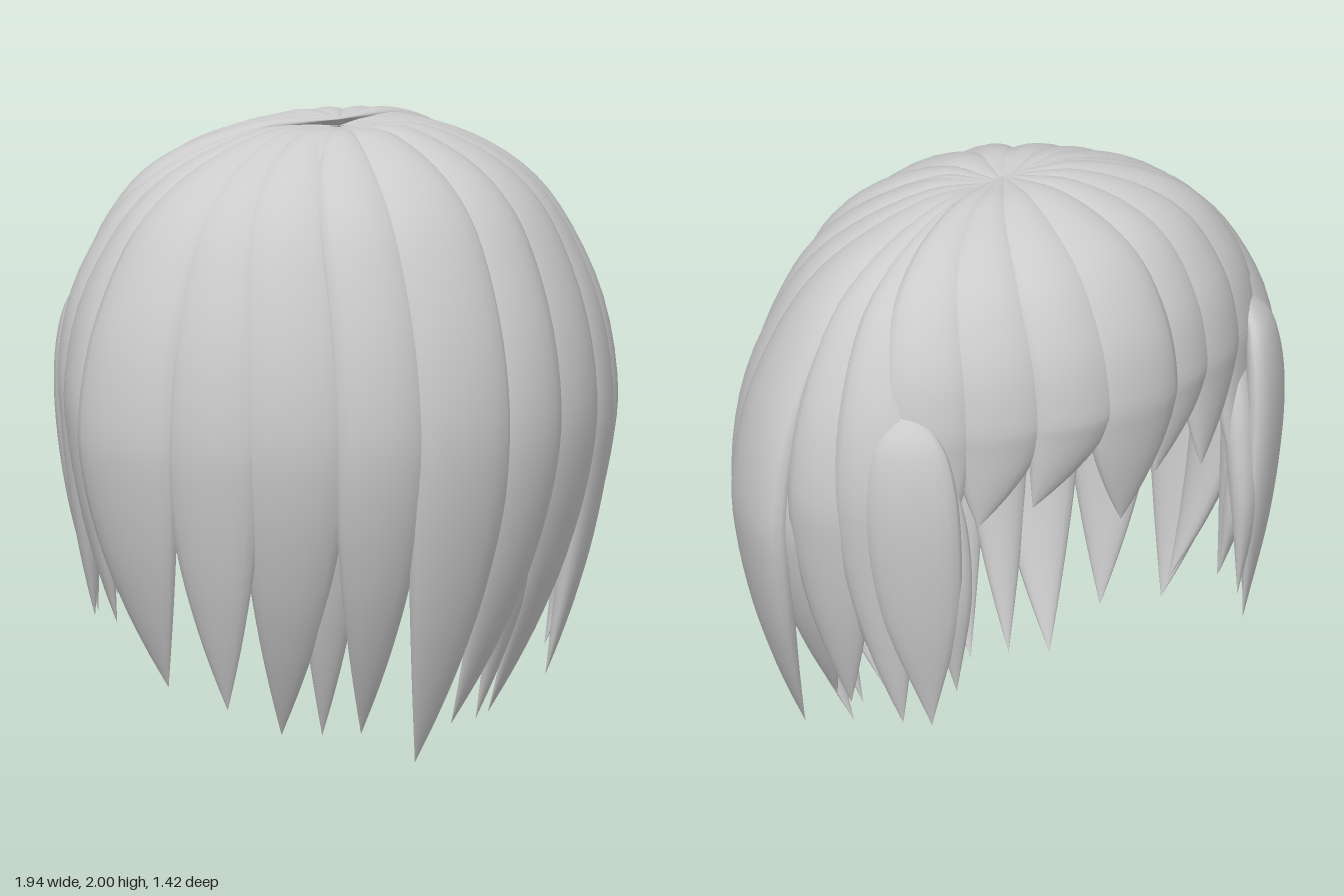
import * as THREE from 'three';

const material = new THREE.MeshStandardMaterial({ color: 0xcccccc, side: THREE.DoubleSide });
const SIDES = 18, STEPS = 40;
const V = (x, y, z) => new THREE.Vector3(x, y, z);

// Sweeps a flattened oval along points on the lock's outer face.
// sizes: relative size at each point; out: horizontal outward direction.
function sweepLock(name, points, sizes, out, halfWidth, halfThick) {
  const path = new THREE.CatmullRomCurve3(points, false, 'catmullrom', 0.5);
  const sizeCurve = new THREE.CatmullRomCurve3(sizes.map((s) => V(s, 0, 0)), false, 'catmullrom', 0.5);
  const side = V(out.z, 0, -out.x).normalize();
  const pos = [], index = [];
  for (let i = 0; i <= STEPS; i++) {
    const u = i / STEPS;
    const size = Math.max(sizeCurve.getPoint(u).x, 0.001);
    const normal = path.getTangent(u).cross(side).normalize();
    const centre = path.getPoint(u).addScaledVector(normal, -halfThick * size);
    for (let j = 0; j < SIDES; j++) {
      const a = (j / SIDES) * Math.PI * 2;
      const p = centre.clone()
        .addScaledVector(side, Math.cos(a) * halfWidth * size)
        .addScaledVector(normal, Math.sin(a) * halfThick * size);
      pos.push(p.x, p.y, p.z);
      if (i < STEPS) {
        const k = (j + 1) % SIDES, r = i * SIDES, n = r + SIDES;
        index.push(r + j, r + k, n + j, r + k, n + k, n + j);
      }
    }
  }
  const geo = new THREE.BufferGeometry();
  geo.setAttribute('position', new THREE.Float32BufferAttribute(pos, 3));
  geo.setIndex(index);
  geo.computeVertexNormals();
  const mesh = new THREE.Mesh(geo, material);
  mesh.name = name;
  return mesh;
}

// Crown-to-bulge profile: fraction of the radius, fraction of the height
const DOME = [[0, 0.97], [0.12, 0.985], [0.28, 0.985], [0.5, 0.905], [0.69, 0.775], [0.83, 0.59], [0.95, 0.31], [1, 0]];
const CROWN_Z = -0.05;

// A lock falling from the crown over bulge point (x, z) at height yb to its tip.
// Near the crown it leaves sideways, then bends round towards its bulge.
// turn: z share of the outward direction.
function crownLock(name, [x, z], yb, tip, halfWidth, { top = 1.99, halfThick = 0.075, turn = z / 0.5 } = {}) {
  const points = [], sizes = [];
  const rx = 0.95, rz = z > 0 ? 0.76 : 0.66;
  const angle = Math.atan2((z - CROWN_Z) / rz, x / rx);
  const radius = Math.hypot((z - CROWN_Z) / rz, x / rx);
  for (const [f, g] of DOME) {
    const a = angle - 0.33 * Math.sin(2 * angle) * (1 - f);
    points.push(V(Math.cos(a) * radius * rx * f, yb + (top - yb) * g, CROWN_Z + Math.sin(a) * radius * rz * f));
    sizes.push(f * (1.1 - 0.1 * f + 0.85 * (1 - f) * Math.sin(angle) ** 4));
  }
  for (const t of [0.25, 0.5, 0.7, 0.86, 1]) {
    const k = t ** 1.8;
    points.push(V(x + (tip[0] - x) * k, yb + (tip[1] - yb) * t, z + (tip[2] - z) * k));
    sizes.push(1 - t ** 1.9);
  }
  return sweepLock(name, points, sizes, V(x / 0.91, 0, turn), halfWidth, halfThick);
}

export function createModel() {
  const hair = new THREE.Group();
  hair.name = 'hair';

  // Long locks down the rear
  hair.add(crownLock('rearCentreLock', [0, 0.71], 1.1, [0, 0, 0.38], 0.19));

  // Mirrored long locks: name, bulge, bulge height, tip, half width, options
  const long = [
    ['rearLock', [0.285, 0.665], 1.1, [0.17, 0.1, 0.33], 0.16],
    ['rearOuterLock', [0.545, 0.53], 1.1, [0.39, 0.1, 0.21], 0.18],
    ['rearInnerLock', [0.4, 0.54], 1.1, [0.29, 0.1, 0.29], 0.13],
    ['rearCornerLock', [0.77, 0.35], 1.1, [0.6, 0.2, 0.22], 0.165],
    ['sideLock', [0.945, 0.09], 1.1, [0.71, 0.26, 0.05], 0.19, { turn: 0.36 }],
    ['sideInnerLock', [0.915, -0.12], 1.1, [0.66, 0.38, -0.05], 0.15],
    ['sideFrontLock', [0.89, -0.27], 1.2, [0.73, 0.43, -0.21], 0.15],
    ['templeLock', [0.81, -0.42], 1.25, [0.68, 0.42, -0.41], 0.14],
  ];
  // Loose strands framing the opening: name, path, sizes, half width
  const loose = [
    ['cheekLock', [[0.68, 1.54, -0.42], [0.73, 1.4, -0.5], [0.74, 1.15, -0.53], [0.7, 0.8, -0.52], [0.62, 0.42, -0.48]],
      [0.25, 0.8, 1, 0.8, 0], 0.15],
    ['cheekInnerLock', [[0.6, 1.4, -0.44], [0.63, 1.28, -0.5], [0.64, 1.1, -0.54], [0.62, 0.85, -0.56], [0.56, 0.54, -0.53]],
      [0.2, 0.7, 1, 0.8, 0], 0.09],
    ['cheekWisp', [[0.76, 1.4, -0.34], [0.8, 1.2, -0.39], [0.79, 1, -0.4], [0.74, 0.75, -0.37], [0.66, 0.5, -0.31]],
      [0.2, 0.7, 1, 0.8, 0], 0.1],
  ];
  for (const s of [1, -1]) {
    const label = s > 0 ? 'left' : 'right';
    for (const [name, [x, z], yb, [tx, ty, tz], w, options] of long) {
      hair.add(crownLock(`${label} ${name}`, [s * x, z], yb, [s * tx, ty, tz], w, options));
    }
    for (const [name, path, sizes, w] of loose) {
      const points = path.map(([x, y, z]) => V(s * x, y, z));
      hair.add(sweepLock(`${label} ${name}`, points, sizes, V(s * 0.65, 0, -0.75), w, 0.055));
    }
  }

  // Fringe swept over the opening: bulge, tip, half width
  const fringe = [
    [[0.65, -0.5], [0.62, 1.0, -0.5], 0.15],
    [[0.43, -0.615], [0.49, 1.1, -0.55], 0.16],
    [[0.18, -0.7], [0.32, 1.14, -0.61], 0.16],
    [[-0.05, -0.715], [0, 1.02, -0.65], 0.18],
    [[-0.29, -0.65], [-0.15, 1.13, -0.63], 0.15],
    [[-0.48, -0.585], [-0.36, 1.08, -0.6], 0.16],
    [[-0.67, -0.47], [-0.54, 1.0, -0.53], 0.16],
  ];
  fringe.forEach(([bulge, tip, w], i) => {
    hair.add(crownLock(`fringeLock${i + 1}`, bulge, 1.45, tip, w, { top: 2.005, halfThick: 0.07 }));
  });

  return hair;
}
